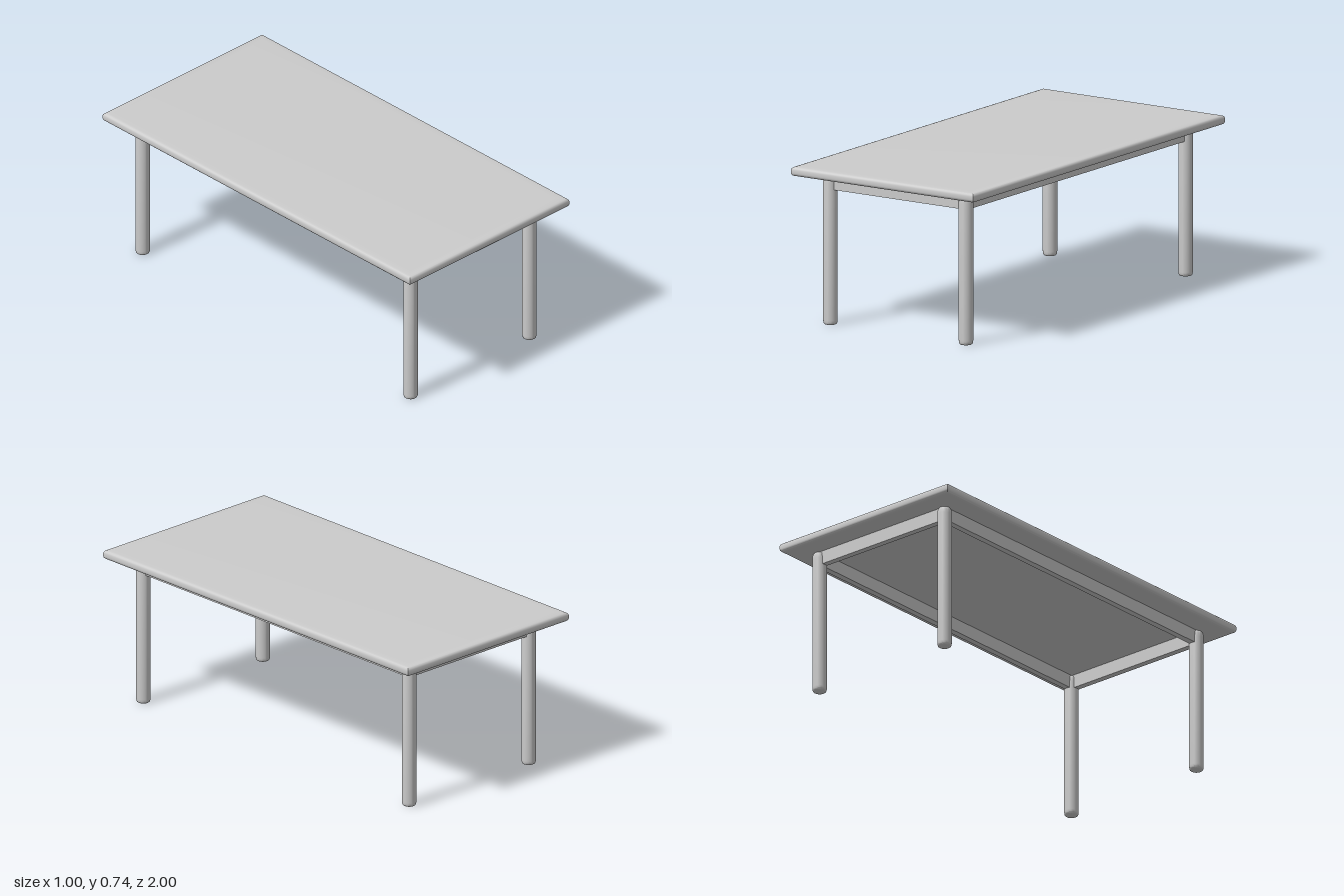
import * as THREE from 'three';
import { toCreasedNormals } from 'three/addons/utils/BufferGeometryUtils.js';

const material = new THREE.MeshStandardMaterial({ color: 0xcccccc });

const LEG_X = 0.372, LEG_Z = 0.872, TOP_BOTTOM = 0.688;

// Slab with softened edges: each level is a rectangle inset from the full size
function tabletopGeometry() {
  const profile = [ // [inset, y]
    [0.045, 0.688], [0.016, 0.6895], [0.007, 0.692], [0.002, 0.697], [0, 0.704],
    [0, 0.719], [0.002, 0.726], [0.007, 0.731], [0.016, 0.7335], [0.045, 0.735],
  ];
  const n = profile.length - 1;
  const geo = new THREE.BoxGeometry(1, 1, 2, 1, n, 1);
  const pos = geo.attributes.position;
  for (let i = 0; i < pos.count; i++) {
    const [inset, y] = profile[Math.round((pos.getY(i) + 0.5) * n)];
    const x = pos.getX(i), z = pos.getZ(i);
    pos.setXYZ(i, x - Math.sign(x) * inset, y, z - Math.sign(z) * inset);
  }
  return toCreasedNormals(geo, 0.7);
}

// Round leg with softened ends
function legGeometry() {
  const h = TOP_BOTTOM - 0.002;
  const points = [
    [0, 0], [0.026, 0], [0.030, 0.003], [0.032, 0.009], [0.033, 0.02],
    [0.033, h - 0.03], [0.032, h - 0.013], [0.030, h - 0.005], [0.026, h], [0, h],
  ].map(([r, y]) => new THREE.Vector2(r, y));
  return toCreasedNormals(new THREE.LatheGeometry(points, 32), 0.7);
}

export function createModel() {
  const group = new THREE.Group();
  const add = (name, geometry, x = 0, y = 0, z = 0) => {
    const mesh = new THREE.Mesh(geometry, material);
    mesh.name = name;
    mesh.position.set(x, y, z);
    group.add(mesh);
  };

  add('tabletop', tabletopGeometry());

  // Legs at the four corners
  const leg = legGeometry();
  for (const [xName, sx] of [['Left', 1], ['Right', -1]])
    for (const [zName, sz] of [['front', 1], ['back', -1]])
      add(`${zName}${xName}Leg`, leg, sx * LEG_X, 0, sz * LEG_Z);

  // Apron rails running from leg to leg under the top
  const railHeight = 0.065, thickness = 0.03;
  const railY = TOP_BOTTOM + 0.002 - railHeight / 2;
  const endRail = new THREE.BoxGeometry(2 * LEG_X - 0.04, railHeight, thickness);
  const sideRail = new THREE.BoxGeometry(thickness, railHeight, 2 * LEG_Z - 0.04);
  add('frontRail', endRail, 0, railY, LEG_Z);
  add('backRail', endRail, 0, railY, -LEG_Z);
  add('leftRail', sideRail, LEG_X, railY, 0);
  add('rightRail', sideRail, -LEG_X, railY, 0);

  return group;
}
